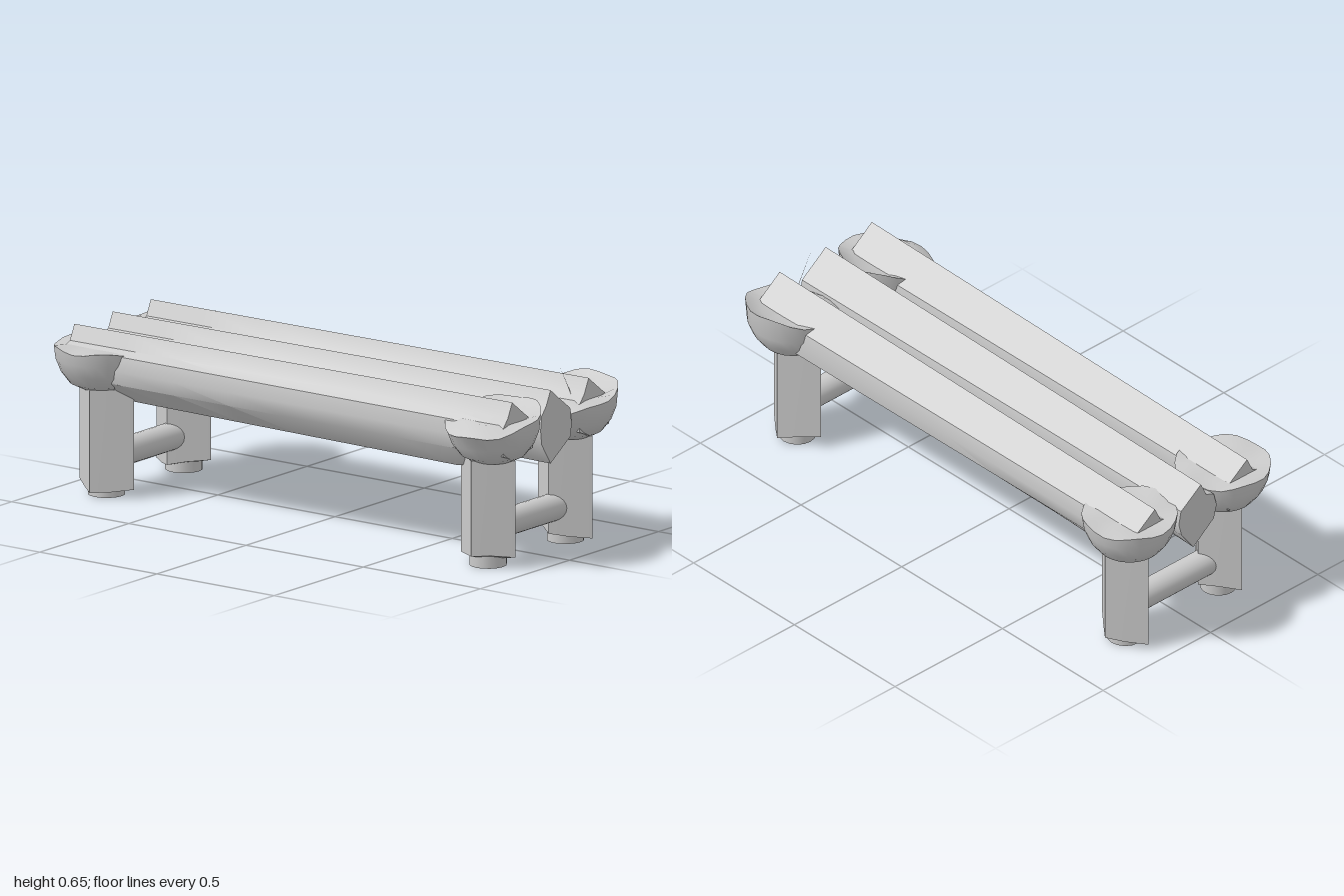
import * as THREE from 'three';
import { toCreasedNormals } from 'three/addons/utils/BufferGeometryUtils.js';

const mat = new THREE.MeshStandardMaterial({ color: 0xcccccc, side: THREE.DoubleSide });

function add(group, name, geometry, crease = 0.6) {
  const mesh = new THREE.Mesh(toCreasedNormals(geometry, crease), mat);
  mesh.name = name;
  group.add(mesh);
  return mesh;
}

// Skin between two matching [z, y] cross-sections, with end caps
function loft(endA, endB, xA, xB, steps = 8) {
  const n = endA.length, pos = [], idx = [];
  for (let s = 0; s <= steps; s++) {
    const t = s / steps;
    for (let i = 0; i < n; i++) {
      pos.push(xA + (xB - xA) * t,
        endA[i][1] + (endB[i][1] - endA[i][1]) * t,
        endA[i][0] + (endB[i][0] - endA[i][0]) * t);
    }
  }
  for (let s = 0; s < steps; s++) {
    for (let i = 0; i < n; i++) {
      const a = s * n + i, b = s * n + (i + 1) % n;
      idx.push(a, a + n, b, b, a + n, b + n);
    }
  }
  const last = steps * n;
  pos.push(xA, 0.46, 0, xB, 0.46, 0);
  for (let i = 0; i < n; i++) {
    const j = (i + 1) % n;
    idx.push(last + n, i, j, last + n + 1, last + j, last + i);
  }
  const g = new THREE.BufferGeometry();
  g.setAttribute('position', new THREE.Float32BufferAttribute(pos, 3));
  g.setIndex(idx);
  return g;
}

// Split seat log: rounded flanks, a twisting ridge above and a keel below
function logGeometry(keelAtEnds) {
  const left = [[0.075, 0.41], [0.088, 0.46], [0.075, 0.51], [0.04, 0.525], [0.015, 0.578],
    [-0.05, 0.53], [-0.078, 0.51], [-0.088, 0.46], [-0.075, 0.41], [-0.02, 0.335]];
  const right = [[0.08, 0.41], [0.086, 0.46], [0.08, 0.51], [0.055, 0.54], [0.03, 0.592],
    [0.0, 0.568], [-0.08, 0.508], [-0.087, 0.46], [-0.085, 0.41], [0.03, 0.335]];
  const g = loft(left, right, -0.94, 0.94);
  const p = g.attributes.position;
  for (let i = 0; i < p.count; i++) {
    if (Math.abs(p.getX(i)) > 0.9 && p.getY(i) < 0.4) p.setY(i, keelAtEnds);
  }
  return g;
}

// Split outside of a leg: four fins at the sides with a chipped foot
function finsGeometry(seed) {
  const g = new THREE.CylinderGeometry(1, 1, 0.36, 8, 1);
  g.translate(0, 0.2, 0);
  const p = g.attributes.position;
  for (let i = 0; i < p.count; i++) {
    const x = p.getX(i), z = p.getZ(i), a = Math.atan2(z, x);
    const tip = Math.abs(Math.cos(2 * a)) > 0.5;
    p.setX(i, x * (tip ? 0.116 : 0.075));
    p.setZ(i, z * (tip ? 0.095 : 0.075));
    if (p.getY(i) < 0.1 && x * x + z * z > 0.1) p.setY(i, 0.034 + 0.014 * Math.sin(a + seed));
  }
  return g;
}

// Bowl-shaped post cap with an uneven, tilted rim and a nearly flat top
function capGeometry(seed, tilt) {
  const profile = [[0, 0.37], [0.07, 0.37], [0.11, 0.39], [0.14, 0.43], [0.158, 0.475],
    [0.164, 0.52], [0.11, 0.517], [0, 0.515]].map(([r, y]) => new THREE.Vector2(r, y));
  const g = new THREE.LatheGeometry(profile, 24);
  const p = g.attributes.position;
  for (let i = 0; i < p.count; i++) {
    if (i % profile.length !== 5) continue;
    const a = Math.atan2(p.getZ(i), p.getX(i));
    p.setY(i, 0.518 + tilt * p.getZ(i) + 0.006 * Math.sin(5 * a + seed));
  }
  return g;
}

export function createModel() {
  const model = new THREE.Group();
  model.name = 'logBench';

  // Three logs form the seat; the outer two rest in the caps
  const logs = { backLog: [-0.217, 0.39], middleLog: [-0.003, 0.335], frontLog: [0.212, 0.39] };
  for (const [name, [z, keel]] of Object.entries(logs)) {
    add(model, name, logGeometry(keel)).position.z = z;
  }

  // Four posts, each with a round core, split fins and a cap
  let seed = 0;
  for (const sx of [-1, 1]) {
    for (const z of [-0.222, 0.212]) {
      seed += 1.7;
      const post = new THREE.Group();
      post.name = (z > 0 ? 'front' : 'back') + (sx > 0 ? 'Left' : 'Right') + 'Post';
      post.position.set(sx * 0.835, 0, z);
      const core = add(post, 'legCore', new THREE.CylinderGeometry(0.064, 0.064, 0.38, 16).translate(0, 0.19, 0));
      const fins = add(post, 'legFins', finsGeometry(seed), 0.3);
      core.position.x = fins.position.x = -sx * 0.021;
      add(post, 'cap', capGeometry(seed, sx > 0 ? -0.26 : 0), 0.7);
      model.add(post);
    }
    // Round rung joining the front and back legs
    const rung = add(model, sx > 0 ? 'leftRung' : 'rightRung',
      new THREE.CylinderGeometry(0.048, 0.048, 0.42, 20).rotateX(Math.PI / 2));
    rung.position.set(sx * 0.815, 0.128, 0);
  }

  // Thin splinter standing up beside the back log
  const splinter = new THREE.BufferGeometry();
  splinter.setAttribute('position', new THREE.Float32BufferAttribute(
    [0.9, 0.652, -0.075, 0.87, 0.53, -0.18, 0.89, 0.53, -0.155], 3));
  splinter.computeVertexNormals();
  add(model, 'splinter', splinter);

  return model;
}
